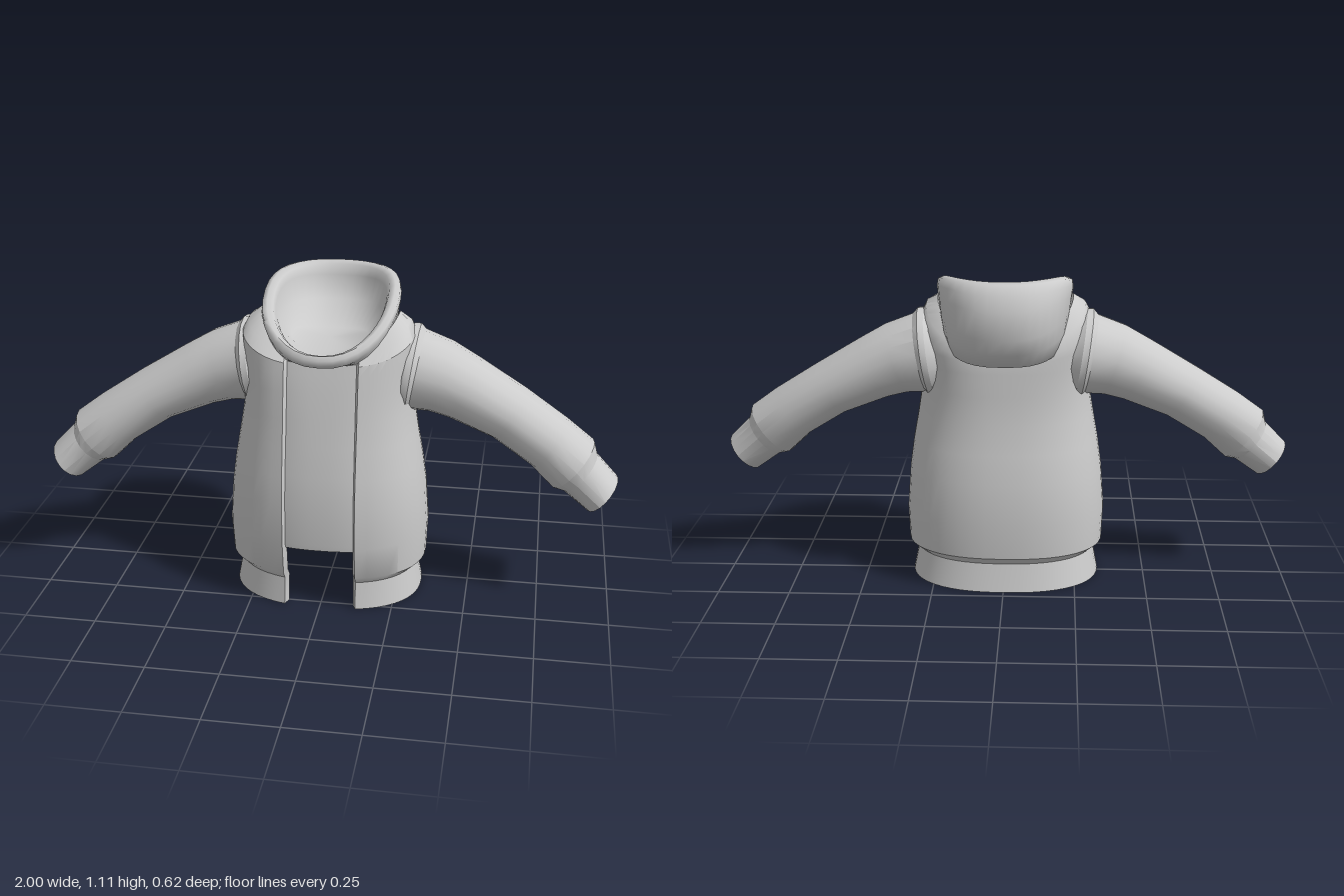
import * as THREE from 'three';
import { toCreasedNormals } from 'three/addons/utils/BufferGeometryUtils.js';

const V = (x, y, z) => new THREE.Vector3(x, y, z);
const material = new THREE.MeshStandardMaterial({ color: 0xcccccc, side: THREE.DoubleSide });

// Skin a list of equally long cross-sections
function loft(name, loops, closed = true, crease = 0.6) {
  const n = loops[0].length, index = [];
  for (let j = 0; j < loops.length - 1; j++) {
    for (let i = 0; i < (closed ? n : n - 1); i++) {
      const a = j * n + i, b = j * n + (i + 1) % n;
      index.push(a, b, b + n, a, b + n, a + n);
    }
  }
  const geometry = new THREE.BufferGeometry().setFromPoints(loops.flat());
  geometry.setIndex(index);
  const mesh = new THREE.Mesh(toCreasedNormals(geometry, crease), material);
  mesh.name = name;
  return mesh;
}

const signedPow = (v, p) => Math.sign(v) * Math.abs(v) ** p;

// Point on a ring [half width, front z, back z, front y, side y, back y, squareness]; angle 0 is the front
function ringPoint([rx, zf, zb, yf, ys, yb, power = 0.85], angle, inset = 0) {
  const s = signedPow(Math.sin(angle), power), c = signedPow(Math.cos(angle), power);
  const y = ys + c * (yf - yb) / 2 + c * c * ((yf + yb) / 2 - ys);
  return V((rx - inset) * s, y, (zf + zb) / 2 + ((zf - zb) / 2 - inset) * c);
}

const level = (y, rx, zf, zb, power) => [rx, zf, zb, y, y, y, power];
const bodyRings = [
  level(0, 0.335, 0.293, -0.22),
  level(0.1, 0.315, 0.283, -0.2),
  level(0.13, 0.348, 0.304, -0.23),
  level(0.25, 0.353, 0.322, -0.24),
  level(0.4, 0.342, 0.323, -0.23),
  level(0.5, 0.328, 0.313, -0.212),
  level(0.6, 0.31, 0.298, -0.194),
  level(0.7, 0.293, 0.281, -0.187, 0.8),
  [0.287, 0.266, -0.185, 0.79, 0.8, 0.78, 0.74],
  [0.292, 0.253, -0.182, 0.85, 0.88, 0.82, 0.7],
  [0.295, 0.245, -0.18, 0.885, 0.95, 0.83, 0.7],
  [0.275, 0.23, -0.18, 0.895, 0.99, 0.85, 0.75],
  [0.235, 0.22, -0.18, 0.897, 1.015, 0.86],
  [0.2, 0.2, -0.15, 0.895, 0.95, 0.84],
];

// Angle at which a ring reaches a given x near the front
const frontAngle = (ring, x) => Math.asin((x / ring[0]) ** (1 / (ring[6] ?? 0.85)));

// Thick jacket shell, open along the front
function makeBody() {
  const steps = 44, gap = 0.125, thickness = 0.03;
  const arc = (ring, inset) => {
    const start = frontAngle(ring, gap);
    return Array.from({ length: steps + 1 }, (_, i) =>
      ringPoint(ring, start + (2 * Math.PI - 2 * start) * i / steps, inset));
  };
  const loops = bodyRings.map(r => [...arc(r, 0), ...arc(r, thickness).reverse()]);
  // Hem underside joins the outer and inner skins
  const inner = arc(bodyRings[0], thickness);
  loops.unshift([...inner, ...inner.slice().reverse()]);
  return loft('jacketBody', loops);
}

// Inner shirt panel behind the opening
function makePanel() {
  const rows = [level(0.23, 0.352, 0.32, -0.238), ...bodyRings.slice(3, 13)];
  const loops = rows.map(r => {
    const half = frontAngle(r, 0.14);
    return Array.from({ length: 11 }, (_, i) => ringPoint(r, half * (i / 5 - 1), 0.02));
  });
  return loft('shirtPanel', loops, false);
}

// Hood lying back: underside, bulge, rolled rim, inner wall and floor
function makeHood() {
  const rings = [
    [0.175, 0.19, -0.16, 0.87, 0.86, 0.815, 0.75],
    [0.2, 0.235, -0.24, 0.887, 0.875, 0.82, 0.75],
    [0.213, 0.25, -0.285, 0.889, 0.925, 0.87, 0.8],
    [0.221, 0.262, -0.31, 0.89, 0.97, 0.925, 0.84],
    [0.229, 0.275, -0.31, 0.891, 1.022, 1.02, 0.88],
    [0.234, 0.287, -0.29, 0.902, 1.048, 1.07, 0.9],
    [0.231, 0.29, -0.27, 0.92, 1.067, 1.103, 0.9],
    [0.214, 0.28, -0.25, 0.934, 1.074, 1.11, 0.9],
    [0.194, 0.262, -0.232, 0.93, 1.066, 1.098, 0.9],
    [0.186, 0.25, -0.226, 0.918, 1.045, 1.06, 0.9],
    [0.172, 0.225, -0.2, 0.915, 0.985, 0.98, 0.9],
    [0.13, 0.17, -0.07, 0.915, 0.935, 0.915, 0.9],
    [0.001, 0.031, 0.029, 0.915, 0.915, 0.915, 0.9],
  ];
  const loops = rings.map(r => Array.from({ length: 36 }, (_, i) =>
    ringPoint(r, i / 36 * Math.PI * 2)));
  return loft('hood', loops, true, 1.0);
}

// Sleeve rings: centre x, y, z, radius across, radius along z, slope in degrees
function makeSleeve() {
  const rings = [
    [0.22, 0.815, 0.015, 0.13, 0.14, -8],
    [0.262, 0.812, 0.015, 0.157, 0.164, -8],
    [0.284, 0.812, 0.015, 0.157, 0.164, -8],
    [0.298, 0.81, 0.012, 0.14, 0.15, -10],
    [0.38, 0.79, 0.012, 0.127, 0.138, -18],
    [0.46, 0.755, 0.015, 0.115, 0.13, -26],
    [0.62, 0.675, 0.025, 0.1, 0.124, -33],
    [0.76, 0.585, 0.045, 0.1, 0.12, -37],
    [0.845, 0.514, 0.056, 0.107, 0.118, -39],
    [0.87, 0.487, 0.06, 0.085, 0.104, -40],
    [0.95, 0.418, 0.075, 0.076, 0.103, -41],
    [0.95, 0.418, 0.075, 0.045, 0.064, -41],
    [0.86, 0.496, 0.06, 0.055, 0.075, -40],
    [0.76, 0.585, 0.045, 0.06, 0.08, -37],
    [0.76, 0.585, 0.045, 0.001, 0.001, -37],
  ];
  const loops = rings.map(([x, y, z, r, rz, degrees]) => {
    const t = degrees * Math.PI / 180;
    return Array.from({ length: 18 }, (_, i) => {
      const a = i / 18 * Math.PI * 2, up = r * Math.cos(a);
      return V(x - up * Math.sin(t), y + up * Math.cos(t), z + rz * Math.sin(a));
    });
  });
  return loft('sleeve', loops, true, 0.45);
}

export function createModel() {
  const model = new THREE.Group();
  model.name = 'hoodedJacket';
  model.add(makeBody(), makePanel(), makeHood());
  for (const side of [1, -1]) {
    const sleeve = makeSleeve();
    sleeve.name = side > 0 ? 'leftSleeve' : 'rightSleeve';
    sleeve.scale.x = side;
    model.add(sleeve);
  }
  return model;
}
